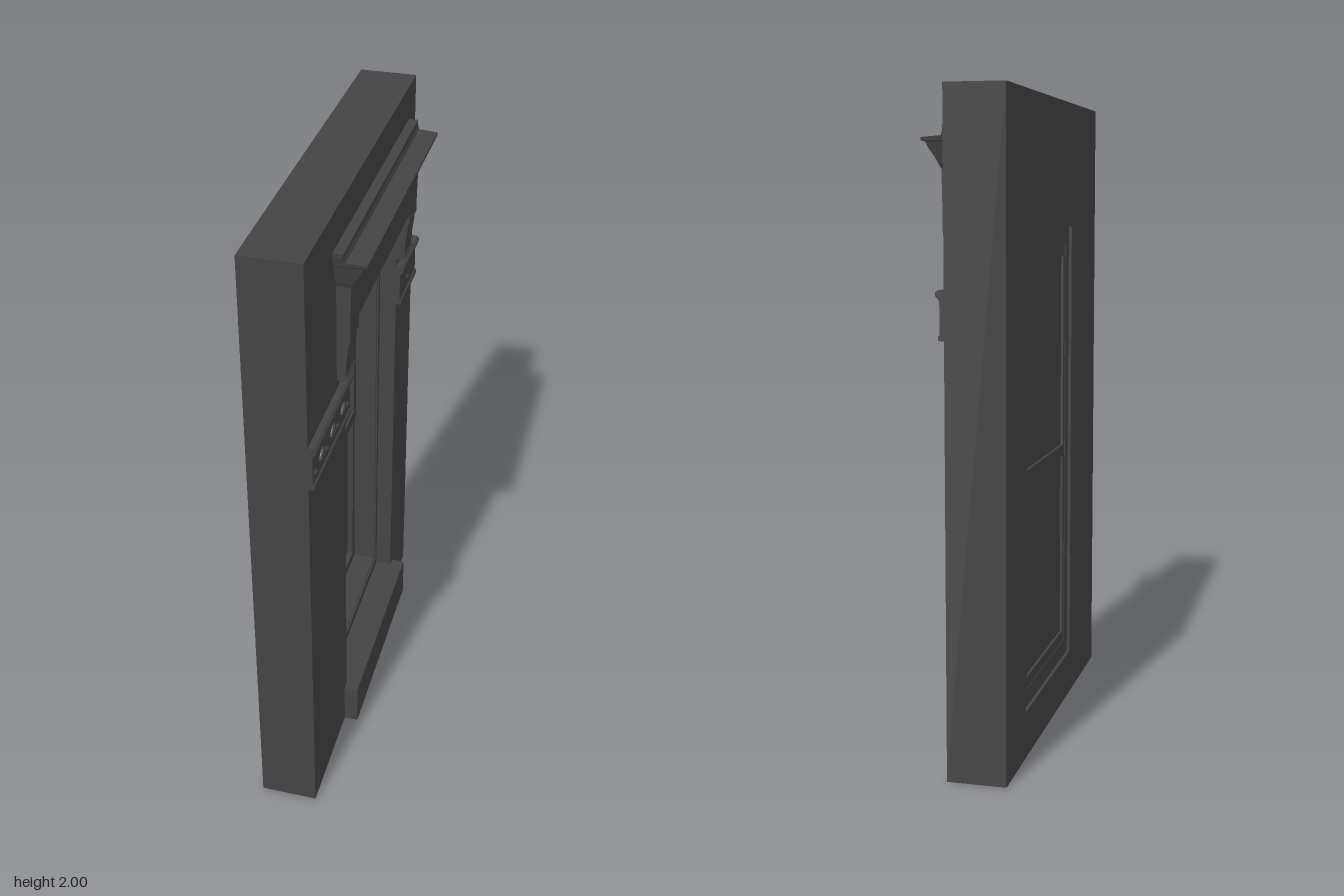
import * as THREE from 'three';

const material = new THREE.MeshStandardMaterial({ color: 0x444444, flatShading: true });
// Window opening in the wall: z and y limits
const Z0 = -0.407, Z1 = 0.238, Y0 = 0.145, Y1 = 1.6;

function add(parent, name, geometry) {
  const mesh = new THREE.Mesh(geometry, material);
  mesh.name = name;
  parent.add(mesh);
  return mesh;
}

function box(x0, x1, y0, y1, z0, z1) {
  return new THREE.BoxGeometry(x1 - x0, y1 - y0, z1 - z0)
    .translate((x0 + x1) / 2, (y0 + y1) / 2, (z0 + z1) / 2);
}

// Rectangle lying in the z-y plane; shape x is -z
function rectangle(Type, [z0, z1, y0, y1]) {
  return new Type([[-z1, y0], [-z0, y0], [-z0, y1], [-z1, y1]].map(p => new THREE.Vector2(...p)));
}

// Rectangular surround with a rectangular hole, from x0 to x1
function surround(outer, inner, x0, x1) {
  const shape = rectangle(THREE.Shape, outer);
  shape.holes.push(rectangle(THREE.Path, inner));
  return new THREE.ExtrudeGeometry(shape, { depth: x1 - x0, bevelEnabled: false })
    .rotateY(Math.PI / 2).translate(x0, 0, 0);
}

// Moulding with an x-y profile, run along z
function moulding(profile, z0, z1) {
  const shape = new THREE.Shape(profile.map(p => new THREE.Vector2(...p)));
  return new THREE.ExtrudeGeometry(shape, { depth: z1 - z0, bevelEnabled: false }).translate(0, 0, z0);
}

// Stacked rectangular sections: rows of [y, front x, end overhang]
function stacked(rows, back, z0, z1) {
  const pos = [];
  const ring = ([y, x, o]) => [[back, y, z1 + o], [x, y, z1 + o], [x, y, z0 - o], [back, y, z0 - o]];
  const quad = (a, b, c, d) => pos.push(...a, ...b, ...c, ...a, ...c, ...d);
  for (let i = 0; i < rows.length - 1; i++) {
    const a = ring(rows[i]), b = ring(rows[i + 1]);
    for (let k = 0; k < 4; k++) quad(a[k], a[(k + 1) % 4], b[(k + 1) % 4], b[k]);
  }
  const low = ring(rows[0]), high = ring(rows[rows.length - 1]);
  quad(low[3], low[2], low[1], low[0]);
  quad(...high);
  const g = new THREE.BufferGeometry();
  g.setAttribute('position', new THREE.Float32BufferAttribute(pos, 3));
  g.computeVertexNormals();
  return g;
}

export function createModel() {
  const model = new THREE.Group();
  model.name = 'windowWall';

  // Wall slab pierced by the opening
  add(model, 'wall', surround([-0.635, 0.635, 0, 2], [Z0, Z1, Y0, Y1], -0.14, 0.04));

  // Stepped window frame, sashes and glass
  const win = new THREE.Group();
  win.name = 'window';
  model.add(win);
  add(win, 'outerFrame', surround([Z0, Z1, Y0, Y1], [-0.365, 0.19, 0.2, 1.54], -0.13, -0.015));
  add(win, 'frameBead', surround([-0.39, 0.222, 0.165, 1.575], [-0.372, 0.197, 0.193, 1.547], -0.016, -0.01));
  add(win, 'upperSash', surround([-0.365, 0.19, 0.84, 1.54], [-0.34, 0.167, 0.878, 1.505], -0.128, -0.085));
  add(win, 'lowerSash', surround([-0.365, 0.19, 0.2, 0.865], [-0.34, 0.167, 0.235, 0.842], -0.128, -0.09));
  add(win, 'glass', box(-0.12, -0.11, 0.21, 1.53, -0.355, 0.18));

  // Projecting sill
  add(model, 'sill', box(0.03, 0.085, 0, 0.145, -0.437, 0.262));

  // Hood: plain frieze flaring into a cornice
  const hood = new THREE.Group();
  hood.name = 'hood';
  model.add(hood);
  add(hood, 'cornice', stacked([
    [1.63, 0.08, 0], [1.77, 0.083, 0], [1.785, 0.09, 0.007], [1.805, 0.1, 0.013],
    [1.83, 0.117, 0.02], [1.845, 0.122, 0.024], [1.848, 0.135, 0.027], [1.858, 0.135, 0.029],
    [1.862, 0.075, 0.03], [1.875, 0.07, 0.034], [1.89, 0.07, 0.036],
  ], 0.03, -0.508, 0.333));

  // Curved brackets dropping either side of the opening
  const bracket = [[0.03, 1.46], [0.06, 1.46], [0.072, 1.468], [0.066, 1.478], [0.068, 1.52],
    [0.073, 1.56], [0.075, 1.585], [0.081, 1.595], [0.08, 1.63], [0.03, 1.63]];
  for (const [z0, z1] of [[-0.508, Z0], [Z1, 0.333]]) add(hood, 'bracket', moulding(bracket, z0, z1));

  // String course on both sides, with a cap and shallow carved leaves
  const band = [[0.03, 1.29], [0.058, 1.29], [0.058, 1.302], [0.053, 1.306], [0.053, 1.4],
    [0.058, 1.408], [0.065, 1.415], [0.065, 1.425], [0.058, 1.432], [0.03, 1.432]];
  for (const [z0, z1, leaves] of [[-0.635, Z0, 1], [Z1, 0.635, 7]]) {
    const course = new THREE.Group();
    course.name = 'stringCourse';
    model.add(course);
    add(course, 'band', moulding(band, z0, z1));
    for (let i = 0; i < leaves; i++) {
      const leaf = add(course, 'carvedLeaf', new THREE.SphereGeometry(1, 8, 6));
      leaf.scale.set(0.01, 0.011, 0.026);
      leaf.rotation.x = (i % 2 ? 1 : -1) * 0.6;
      leaf.position.set(0.053, 1.345 + (i % 2 ? 0.012 : -0.012), z0 + (z1 - z0) * (i + 0.5) / leaves);
    }
  }
  return model;
}
